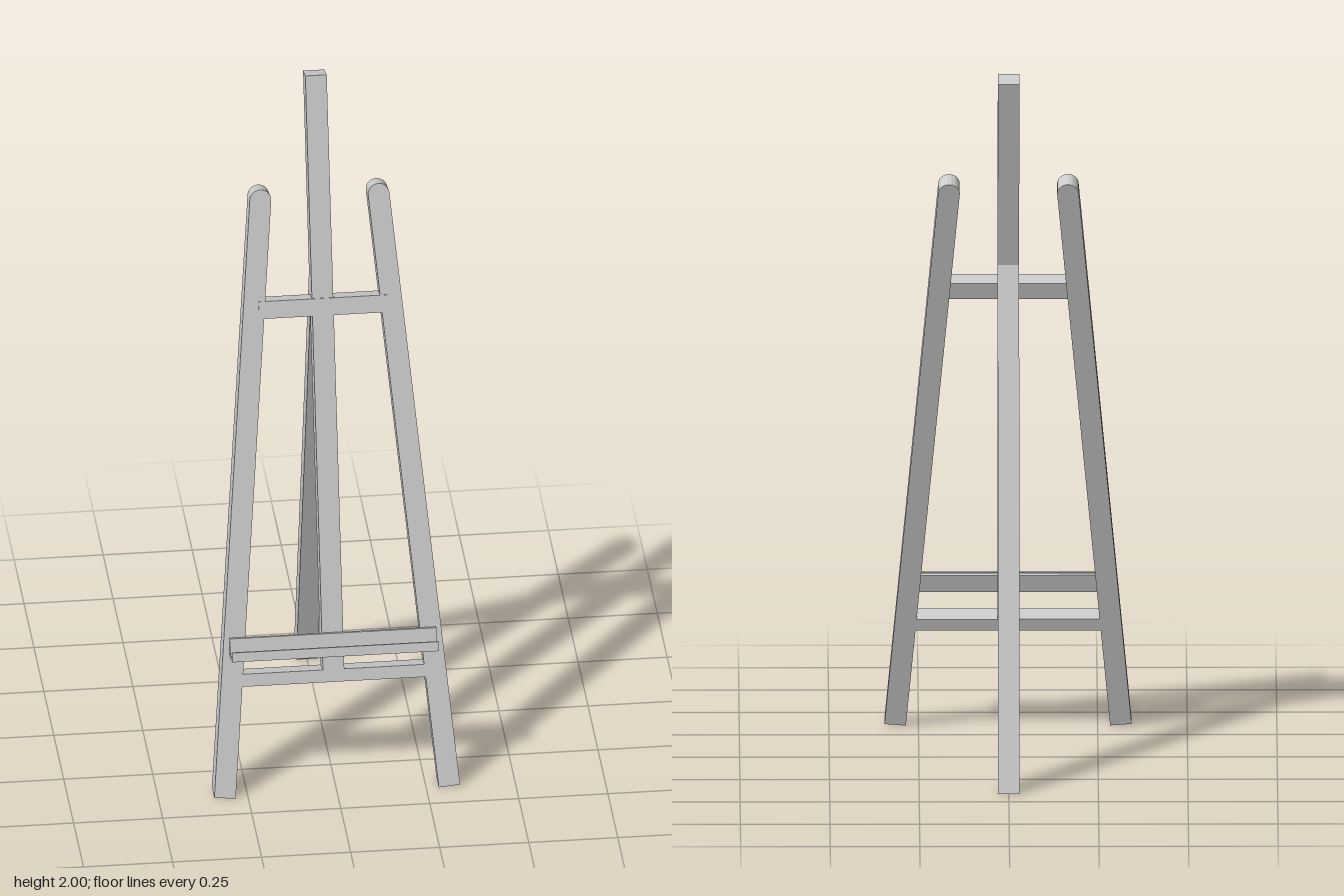
import * as THREE from 'three';
import { toCreasedNormals } from 'three/addons/utils/BufferGeometryUtils.js';

const LEAN = THREE.MathUtils.degToRad(15); // backward lean of the front frame
const T = 0.06;                            // timber thickness
const FOOT = 0.382;                        // distance of the feet from the centre

export function createModel() {
  const material = new THREE.MeshStandardMaterial({ color: 0xcccccc });
  const model = new THREE.Group();
  model.name = 'easel';

  const add = (parent, name, geometry) => {
    const mesh = new THREE.Mesh(geometry, material);
    mesh.name = name;
    parent.add(mesh);
    return mesh;
  };

  // extrude a [z, y] profile along x, centred on x = 0
  const alongX = (points, width) => {
    const shape = new THREE.Shape(points.map(([z, y]) => new THREE.Vector2(z, y)));
    return new THREE.ExtrudeGeometry(shape, { depth: width, bevelEnabled: false })
      .translate(0, 0, -width / 2)
      .rotateY(-Math.PI / 2);
  };

  // everything in the front frame lies in one leaning plane
  const frame = new THREE.Group();
  frame.name = 'frontFrame';
  frame.position.z = FOOT;
  frame.rotation.x = -LEAN;
  model.add(frame);

  // side legs: round top, splayed outwards, feet cut level with the ground
  const sideLeg = (side) => {
    const length = 1.715, r = T / 2;
    const shape = new THREE.Shape();
    shape.moveTo(-r, 0);
    shape.lineTo(r, 0);
    shape.lineTo(r, length);
    shape.absarc(0, length, r, 0, Math.PI, false);
    shape.closePath();
    const geometry = new THREE.ExtrudeGeometry(shape, { depth: T, bevelEnabled: false, curveSegments: 20 })
      .translate(0, 0, -T / 2)
      .rotateZ(side * 0.087)
      .translate(side * 0.315, 0.003, 0);
    const p = geometry.attributes.position;
    for (let i = 0; i < p.count; i++) {
      if (p.getY(i) < 0.1) p.setY(i, p.getY(i) - p.getZ(i) * Math.tan(LEAN));
    }
    return toCreasedNormals(geometry, 0.5);
  };
  add(frame, 'leftLeg', sideLeg(1));
  add(frame, 'rightLeg', sideLeg(-1));

  // straight timbers of the frame: width, bottom, top, depth, offset
  const timber = (name, width, bottom, top, depth = T, z = 0) => {
    add(frame, name, new THREE.BoxGeometry(width, top - bottom, depth))
      .position.set(0, (bottom + top) / 2, z);
  };
  timber('mast', T, 0.349, 2.0626);
  timber('lowerCrossbar', 0.53, 0.313, 0.349);
  timber('upperCrossbar', 0.36, 1.37, 1.42, 0.053, 0.006);

  // canvas ledge: channel with a tall back and a low front lip
  add(frame, 'ledge', alongX([
    [0.03, 0.403], [0.099, 0.403], [0.099, 0.43], [0.092, 0.43],
    [0.092, 0.414], [0.042, 0.414], [0.042, 0.456], [0.03, 0.456],
  ], 0.58));

  // back leg: level foot, top mitred against the back of the mast
  add(model, 'backLeg', alongX([
    [-0.413, 0], [-0.351, 0], [0, 1.31], [-0.031, 1.426],
  ], T));

  return model;
}
